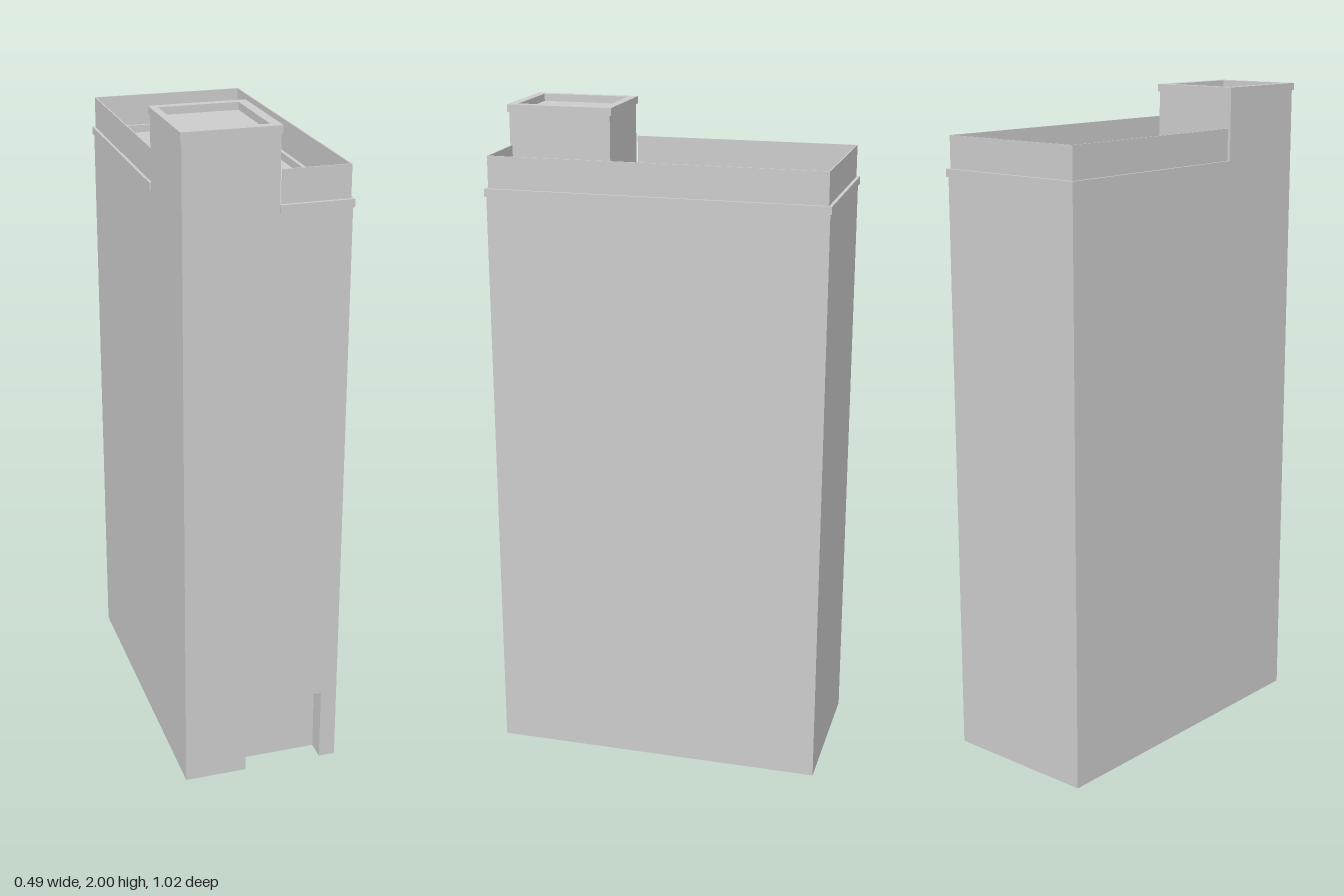
import * as THREE from 'three';

const material = new THREE.MeshStandardMaterial({ color: 0xcccccc, side: THREE.DoubleSide });

// Extrudes a floor plan of [x, z] points from height y0 up to y1
function slab(name, plan, y0, y1, hole) {
  const points = (list) => list.map(([x, z]) => new THREE.Vector2(x, -z));
  const shape = new THREE.Shape(points(plan));
  if (hole) shape.holes.push(new THREE.Path(points(hole)));
  const geometry = new THREE.ExtrudeGeometry(shape, { depth: y1 - y0, bevelEnabled: false });
  geometry.rotateX(-Math.PI / 2).translate(0, y0, 0);
  const mesh = new THREE.Mesh(geometry, material);
  mesh.name = name;
  return mesh;
}

const rect = (x0, x1, z0, z1) => [[x0, z0], [x1, z0], [x1, z1], [x0, z1]];

// Plan of the main roof: a rectangle less the tower's corner
const roofPlan = (x, z0, z1, cornerX, cornerZ) => [
  [cornerX, z1], [x, z1], [x, z0], [-x, z0], [-x, cornerZ], [cornerX, cornerZ],
];

export function createModel() {
  const group = new THREE.Group();
  const W = 0.24, D = 0.505;
  const doorL = -0.05, doorR = 0.19, doorH = 0.23;

  // Ground floor with the entrance recess and a hollow open below
  const groundPlan = [
    [-W, -D], [W, -D], [W, D], [doorR, D], [doorR, 0.445], [doorL, 0.445], [doorL, D], [-W, D],
  ];
  group.add(slab('groundFloor', groundPlan, 0, doorH, rect(doorL, doorR, -0.485, 0.44)));

  // Upper floors
  group.add(slab('upperFloors', rect(-W, W, -D, D), doorH, 1.762));

  // Cornice band, also the ledge around the sunken roof
  group.add(slab('cornice', roofPlan(0.244, -0.51, 0.51, 0.032, 0.19), 1.762, 1.785,
    roofPlan(0.22, -0.487, 0.483, 0.05, 0.17)));

  // Thin parapet round the main roof, open towards the tower
  const t = 0.004, px = 0.236, pz = 0.5;
  const parapetPlan = [
    [0.038, pz], [px, pz], [px, -pz], [-px, -pz], [-px, 0.185],
    [-px + t, 0.185], [-px + t, -pz + t], [px - t, -pz + t], [px - t, pz - t], [0.038, pz - t],
  ];
  group.add(slab('parapet', parapetPlan, 1.785, 1.88));

  // Stair tower and its raised rim
  group.add(slab('stairTower', rect(-W, 0.032, 0.192, D), 1.762, 1.978));
  group.add(slab('towerRim', rect(-0.244, 0.036, 0.187, 0.51), 1.978, 2,
    rect(-0.222, 0.008, 0.213, 0.483)));

  return group;
}
